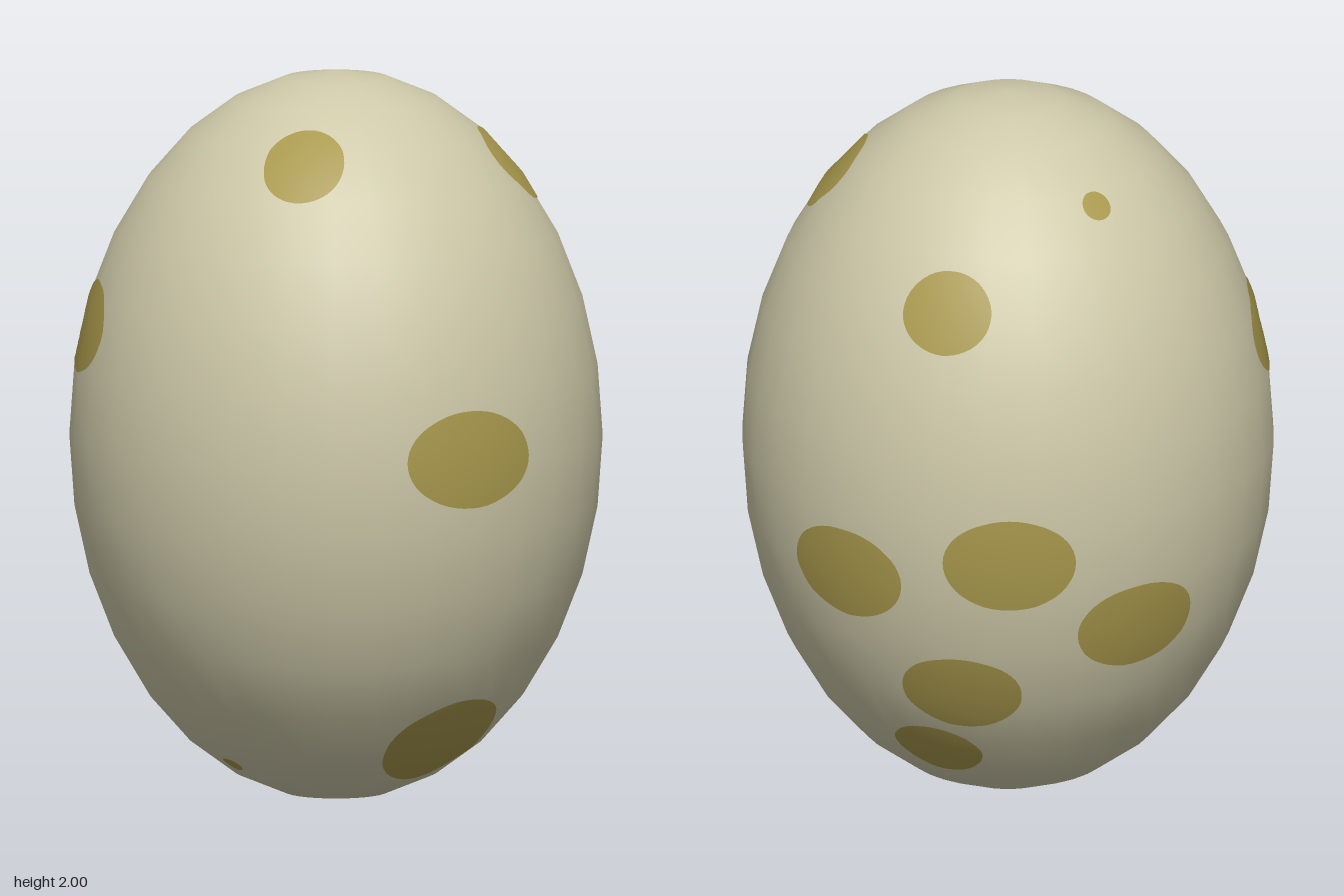
import * as THREE from 'three';

const R = 0.725;                 // radius at the equator (half height is 1)
const STEP = Math.PI / 16;       // angular size of one facet of the shell
const LIFT = 0.003;              // spots sit just proud of the shell

// Spots: azimuth in degrees (0 = front, 90 = +x), height above the middle, half width, half height
const SPOTS = [
  [0, 0.805, 0.112, 0.127],
  [-70.3, 0.315, 0.18, 0.13],
  [42.8, 0.02, 0.199, 0.135],
  [55, -0.812, 0.185, 0.176],
  [99.8, 0.759, 0.127, 0.128],
  [180, 0.577, 0.126, 0.117],
  [-129.5, 0.805, 0.042, 0.042],
  [157.5, -0.19, 0.188, 0.133],
  [-163.3, -0.109, 0.188, 0.136],
  [-132.3, -0.333, 0.185, 0.133],
  [-175.6, -0.53, 0.17, 0.131],
  [172.8, -0.753, 0.128, 0.11],
  [-43, -0.88, 0.032, 0.03],
];

// Point on the faceted shell at a given azimuth and latitude
function shellPoint(az, lat) {
  const k = Math.floor(lat / STEP);
  const l0 = k * STEP, l1 = l0 + STEP;
  const f = (lat - l0) / STEP;
  const mid = (Math.floor(az / STEP) + 0.5) * STEP;
  const chord = Math.cos(STEP / 2) / Math.cos(az - mid);
  const r = R * THREE.MathUtils.lerp(Math.cos(l0), Math.cos(l1), f) * chord;
  const y = THREE.MathUtils.lerp(Math.sin(l0), Math.sin(l1), f);
  return new THREE.Vector3(r * Math.sin(az), y, r * Math.cos(az));
}

// Oval patch wrapped onto the shell
function spotGeometry([deg, height, halfWidth, halfHeight]) {
  const az = THREE.MathUtils.degToRad(deg), lat = Math.asin(height);
  const sa = Math.sin(az), ca = Math.cos(az);
  const r = R * Math.cos(lat), slope = -R * Math.sin(lat);
  const centre = new THREE.Vector3(r * sa, height, r * ca);
  const across = new THREE.Vector3(ca, 0, -sa);
  const up = new THREE.Vector3(slope * sa, Math.cos(lat), slope * ca).normalize();

  const geo = new THREE.RingGeometry(0, 1, 48, 8);
  const pos = geo.attributes.position, nor = geo.attributes.normal;
  for (let i = 0; i < pos.count; i++) {
    const p = centre.clone()
      .addScaledVector(across, pos.getX(i) * halfWidth)
      .addScaledVector(up, pos.getY(i) * halfHeight);
    const d = new THREE.Vector3(p.x / R, p.y, p.z / R).normalize();
    const n = new THREE.Vector3(d.x / R, d.y, d.z / R).normalize();
    const q = shellPoint(Math.atan2(d.x, d.z), Math.asin(d.y)).addScaledVector(n, LIFT);
    pos.setXYZ(i, q.x, q.y, q.z);
    nor.setXYZ(i, n.x, n.y, n.z);
  }
  return geo;
}

export function createModel() {
  const cream = new THREE.MeshStandardMaterial({ color: 0xcdc8a8 });
  cream.name = 'cream';
  const olive = new THREE.MeshStandardMaterial({ color: 0xa8984c });
  olive.name = 'olive';

  const model = new THREE.Group();
  model.name = 'spottedEgg';

  // Shell
  const shell = new THREE.Mesh(new THREE.SphereGeometry(1, 32, 16).scale(R, 1, R), cream);
  shell.name = 'shell';
  shell.position.y = 1;
  model.add(shell);

  // Spots
  const spots = new THREE.Group();
  spots.name = 'spots';
  spots.position.y = 1;
  SPOTS.forEach((data, i) => {
    const spot = new THREE.Mesh(spotGeometry(data), olive);
    spot.name = `spot${i + 1}`;
    spots.add(spot);
  });
  model.add(spots);

  return model;
}
